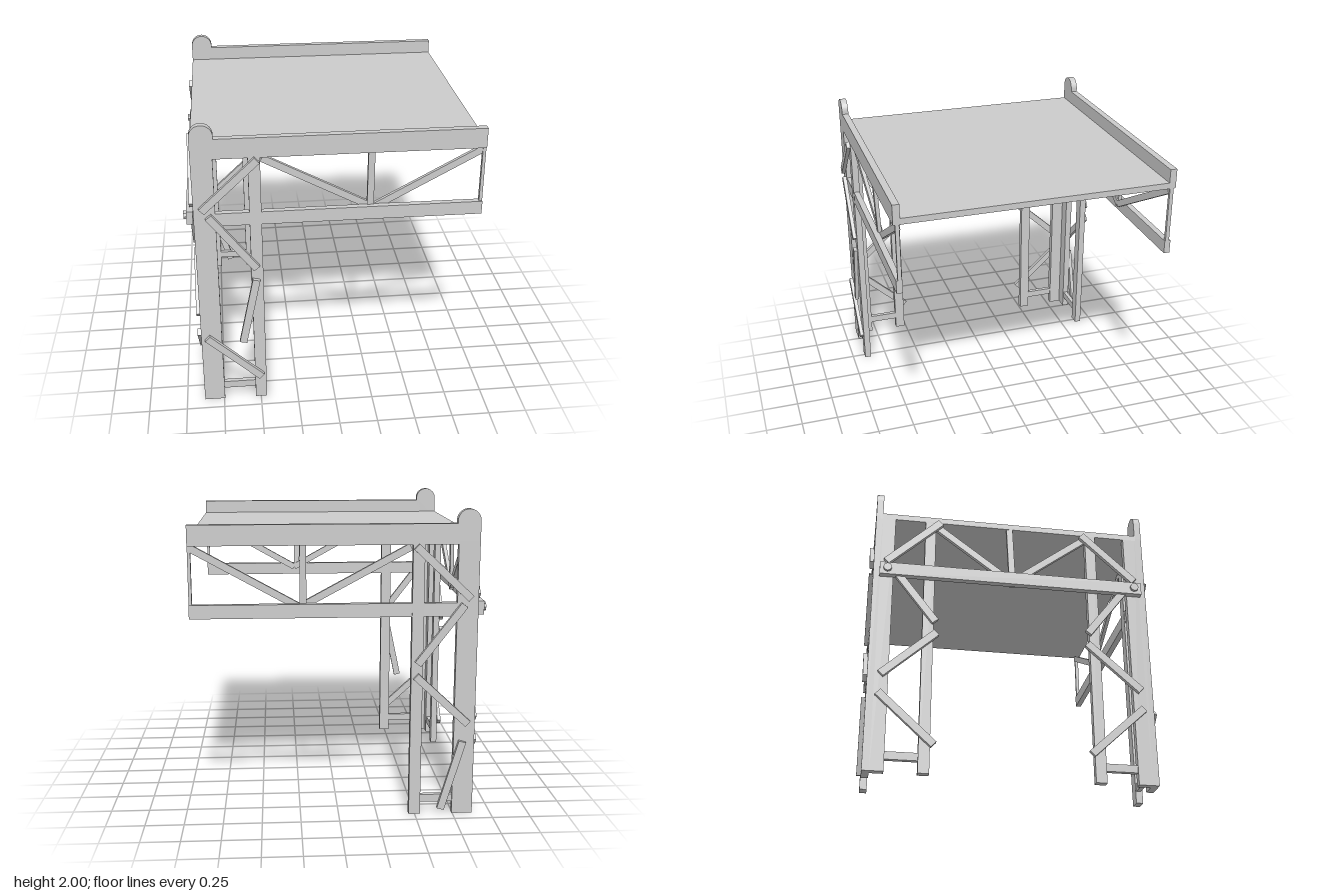
import * as THREE from 'three';

const material = new THREE.MeshStandardMaterial({ color: 0xcccccc, flatShading: true });

function add(parent, name, geometry) {
  const mesh = new THREE.Mesh(geometry, material);
  mesh.name = name;
  parent.add(mesh);
  return mesh;
}

// Box given by its two extreme corners
function block(parent, name, [x0, x1], [y0, y1], [z0, z1]) {
  const mesh = add(parent, name, new THREE.BoxGeometry(x1 - x0, y1 - y0, z1 - z0));
  mesh.position.set((x0 + x1) / 2, (y0 + y1) / 2, (z0 + z1) / 2);
  return mesh;
}

// Plank between two points; its flat side faces the given normal
function plank(parent, name, a, b, width, thickness, normal) {
  const start = new THREE.Vector3(...a), end = new THREE.Vector3(...b);
  const along = end.clone().sub(start);
  const mesh = add(parent, name, new THREE.BoxGeometry(along.length(), width, thickness));
  along.normalize();
  const across = new THREE.Vector3(...normal).cross(along).normalize();
  const out = along.clone().cross(across);
  mesh.quaternion.setFromRotationMatrix(new THREE.Matrix4().makeBasis(along, across, out));
  mesh.position.copy(start).add(end).multiplyScalar(0.5);
  return mesh;
}

// Nailed-on braces as [u0, y0, u1, y1], u being x or the distance along z
const upper = [[-0.83, 1.44, -0.48, 1.77], [-0.79, 1.4, -0.5, 1.02]];
const frontBraces = [...upper, [-0.505, 0.935, -0.605, 0.465], [-0.84, 0.505, -0.49, 0.18]];
const backBraces = [...upper, [-0.83, 0.62, -0.49, 0.94], [-0.8, 0.5, -0.665, 0.04]];
const endBraces = [...upper, [-0.83, 0.63, -0.49, 0.94], [-0.84, 0.505, -0.49, 0.18]];

function side(s) {
  const g = new THREE.Group();
  g.name = s > 0 ? 'frontSide' : 'backSide';
  const zs = (a, b) => (s > 0 ? [a, b] : [-b, -a]);
  const face = zs(0.865, 0.91);

  // Corner post of angle section
  block(g, 'cornerPostSide', [-0.88, -0.745], [0, 1.8], face);
  block(g, 'cornerPostEnd', [-0.88, -0.835], [0, 1.78], zs(0.78, 0.865));

  // Rounded head of the corner post
  const head = new THREE.Shape();
  head.moveTo(-0.88, 1.78);
  head.lineTo(-0.735, 1.78);
  head.lineTo(-0.735, 1.9275);
  head.absarc(-0.8075, 1.9275, 0.0725, 0, Math.PI, false);
  head.closePath();
  const headGeometry = new THREE.ExtrudeGeometry(head, { depth: 0.045, bevelEnabled: false, curveSegments: 12 });
  add(g, 'postHead', headGeometry).position.z = face[0];

  // Inner posts and rungs
  block(g, 'innerPostSide', [-0.535, -0.46], [0, 1.78], face);
  block(g, 'innerPostEnd', [-0.88, -0.835], [0, 1.78], zs(0.51, 0.58));
  block(g, 'rungSide', [-0.745, -0.535], [0.08, 0.13], zs(0.87, 0.9));
  block(g, 'rungEnd', [-0.872, -0.842], [0.08, 0.13], zs(0.58, 0.78));

  // Braces on the outside of the legs
  for (const [u0, y0, u1, y1] of s > 0 ? frontBraces : backBraces)
    plank(g, 'legBraceSide', [u0, y0, s * 0.922], [u1, y1, s * 0.922], 0.048, 0.027, [0, 0, 1]);
  for (const [u0, y0, u1, y1] of endBraces)
    plank(g, 'legBraceEnd', [-0.892, y0, -s * u0], [-0.892, y1, -s * u1], 0.048, 0.027, [1, 0, 0]);

  // Rail and lower beam
  block(g, 'rail', [-0.76, 0.935], [1.78, 1.91], face);
  block(g, 'lowerBeam', [-0.76, 0.935], [1.325, 1.412], zs(0.868, 0.908));

  // Truss, leaning slightly inwards at the bottom
  const foot = [0.245, 1.385, s * 0.853];
  for (const x of [-0.45, 0.92])
    plank(g, 'trussBrace', [x, 1.765, s * 0.878], foot, 0.045, 0.025, [0, 0, 1]);
  plank(g, 'trussStrut', [0.225, 1.79, s * 0.88], [0.225, 1.38, s * 0.862], 0.042, 0.025, [0, 0, 1]);
  block(g, 'endStrut', [0.915, 0.935], [1.4, 1.79], zs(0.872, 0.897));

  // Peg holding the end beam
  const peg = add(g, 'beamPeg', new THREE.CylinderGeometry(0.028, 0.028, 0.05, 8));
  peg.rotation.z = Math.PI / 2;
  peg.position.set(-0.918, 1.372, s * 0.82);
  return g;
}

export function createModel() {
  const model = new THREE.Group();
  model.name = 'trestlePlatform';
  block(model, 'deck', [-0.88, 0.935], [1.78, 1.82], [-0.87, 0.87]);
  model.add(side(1), side(-1));

  // Truss between the two legs
  const end = new THREE.Group();
  end.name = 'endTruss';
  model.add(end);
  block(end, 'endBeam', [-0.925, -0.885], [1.328, 1.415], [-0.87, 0.87]);
  for (const s of [-1, 1])
    plank(end, 'endTrussBrace', [-0.865, 1.765, s * 0.52], [-0.872, 1.365, 0], 0.045, 0.027, [1, 0, 0]);
  plank(end, 'endTrussStrut', [-0.865, 1.79, -0.012], [-0.872, 1.34, 0.005], 0.042, 0.025, [1, 0, 0]);
  return model;
}
